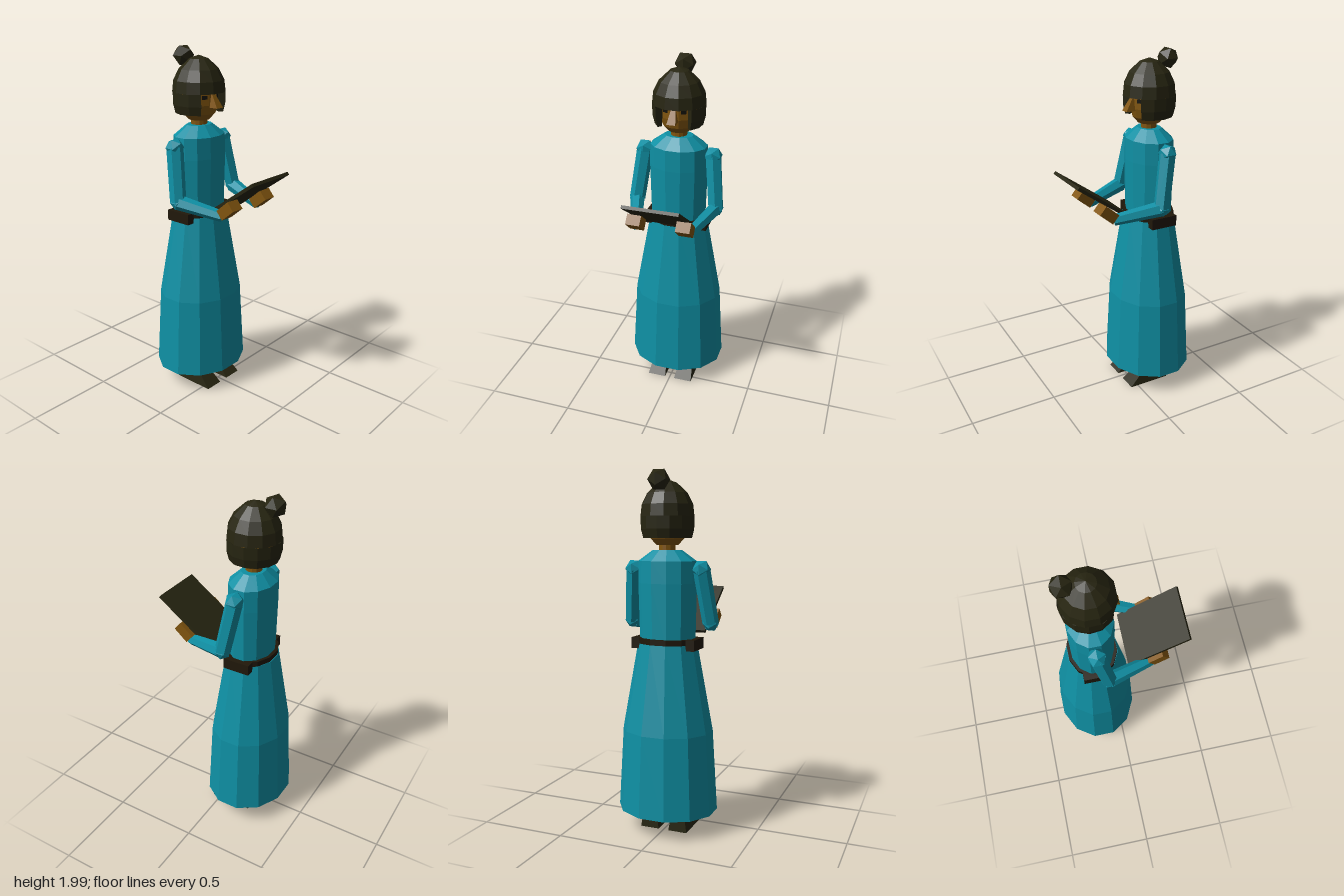
import * as THREE from 'three';

const flat = (name, color, side = THREE.FrontSide) =>
  new THREE.MeshStandardMaterial({ name, color, side, flatShading: true });

const CZ = -0.137; // depth of the body axis
const rad = THREE.MathUtils.degToRad;

export function createModel() {
  const cloth = flat('tealCloth', 0x0f90a4);
  const skin = flat('skin', 0x82560f);
  const hair = flat('darkHair', 0x272511, THREE.DoubleSide);
  const dark = flat('darkOlive', 0x272511);
  const leather = flat('beltLeather', 0x20180a);
  const eyeInk = flat('eyeInk', 0x14130c);
  const model = new THREE.Group();
  model.name = 'robedFigure';

  const add = (name, geometry, material, x = 0, y = 0, z = 0) => {
    const mesh = new THREE.Mesh(geometry, material);
    mesh.name = name;
    mesh.position.set(x, y, z);
    model.add(mesh);
    return mesh;
  };

  // Twelve-sided turned part; depth scales z
  const turned = (name, points, material, depth = 1) => {
    const profile = points.map(([r, y]) => new THREE.Vector2(r, y));
    const geo = new THREE.LatheGeometry(profile, 12, rad(15)).scale(1, 1, depth);
    return add(name, geo, material, 0, 0, CZ);
  };

  // Tapered limb between two points
  const limb = (name, a, b, ra, rb, material, sides = 6) => {
    const from = new THREE.Vector3(...a), to = new THREE.Vector3(...b);
    const dir = to.clone().sub(from);
    const mesh = add(name, new THREE.CylinderGeometry(rb, ra, dir.length(), sides), material);
    mesh.position.copy(from).addScaledVector(dir, 0.5);
    mesh.quaternion.setFromUnitVectors(new THREE.Vector3(0, 1, 0), dir.normalize());
    return mesh;
  };

  // Robe
  turned('skirt', [[0, 0.12], [0.286, 0.12], [0.258, 0.58], [0.168, 1.07], [0, 1.07]], cloth, 0.86);
  turned('torso', [[0, 1.06], [0.158, 1.06], [0.166, 1.4], [0.163, 1.52], [0.082, 1.578], [0, 1.578]], cloth, 0.77);
  turned('belt', [[0, 1.07], [0.172, 1.07], [0.172, 1.1], [0, 1.1]], leather, 0.82);

  // Neck and head
  turned('neck', [[0, 1.56], [0.045, 1.56], [0.045, 1.62], [0, 1.62]], skin);
  turned('head', [[0, 1.605], [0.06, 1.605], [0.092, 1.64], [0.104, 1.69], [0.104, 1.78], [0, 1.78]], skin);

  // Wedge nose, wide and protruding at its lower edge
  const noseGeo = new THREE.BoxGeometry(0.05, 0.07, 0.06);
  const np = noseGeo.attributes.position;
  for (let i = 0; i < np.count; i++) {
    if (np.getY(i) > 0) {
      np.setX(i, np.getX(i) * 0.5);
      if (np.getZ(i) > 0) np.setZ(i, -0.014);
    }
  }
  add('nose', noseGeo, skin, 0, 1.715, -0.014);

  // Hair: closed cap above the brow, open-fronted fall below it
  turned('hairCap', [[0, 1.757], [0.147, 1.757], [0.14, 1.82], [0.11, 1.88], [0.052, 1.934], [0, 1.952]], hair);
  const fall = [[0.1, 1.757], [0.108, 1.642], [0.133, 1.642], [0.145, 1.69], [0.147, 1.757]]
    .map(([r, y]) => new THREE.Vector2(r, y));
  const open = rad(43);
  add('hairFall', new THREE.LatheGeometry(fall, 10, open, Math.PI * 2 - 2 * open), hair, 0, 0, CZ);
  for (const s of [1, -1]) {
    const end = new THREE.ShapeGeometry(new THREE.Shape(fall)).rotateY(s * open - Math.PI / 2);
    add('hairFallEdge', end, hair, 0, 0, CZ);
  }
  add('hairBun', new THREE.IcosahedronGeometry(0.061, 0), hair, 0, 1.943, -0.25);

  // Parts on both sides
  for (const s of [1, -1]) {
    const side = s > 0 ? 'left' : 'right';

    const eye = add(side + 'Eye', new THREE.BoxGeometry(0.03, 0.02, 0.006), eyeInk,
      s * 0.0505, 1.735, CZ + 0.0875);
    eye.rotation.y = s * rad(30);

    add(side + 'BeltPouch', new THREE.BoxGeometry(0.05, 0.06, 0.155), leather, s * 0.16, 1.07, -0.1375);

    // Sleeve with faceted joints
    const shoulder = [s * 0.198, 1.475, -0.137];
    const elbow = [s * 0.234, 1.182, -0.085];
    const wrist = [s * 0.153, 1.135, 0.165];
    add(side + 'Shoulder', new THREE.IcosahedronGeometry(0.053, 0), cloth, ...shoulder);
    limb(side + 'UpperSleeve', shoulder, elbow, 0.047, 0.045, cloth);
    add(side + 'Elbow', new THREE.IcosahedronGeometry(0.046, 0), cloth, ...elbow);
    limb(side + 'LowerSleeve', elbow, wrist, 0.043, 0.031, cloth);

    const hand = add(side + 'Hand', new THREE.BoxGeometry(0.08, 0.06, 0.1), skin, s * 0.14, 1.178, 0.203);
    hand.rotation.x = -rad(40);

    // Leg and wedge-toed shoe
    limb(side + 'Leg', [s * 0.085, 0.05, -0.15], [s * 0.085, 0.15, -0.14], 0.04, 0.036, dark);
    const shoeGeo = new THREE.BoxGeometry(0.11, 0.066, 0.25);
    const sp = shoeGeo.attributes.position;
    for (let i = 0; i < sp.count; i++) {
      if (sp.getY(i) > 0) {
        sp.setX(i, sp.getX(i) * 0.8);
        sp.setZ(i, sp.getZ(i) > 0 ? 0.055 : -0.12);
      }
    }
    add(side + 'Shoe', shoeGeo, dark, s * 0.085, 0.033, -0.08);
  }

  // Flat board held in both hands
  const board = add('board', new THREE.BoxGeometry(0.31, 0.018, 0.4), dark, 0, 1.232, 0.207);
  board.rotation.x = -rad(35.5);

  return model;
}
